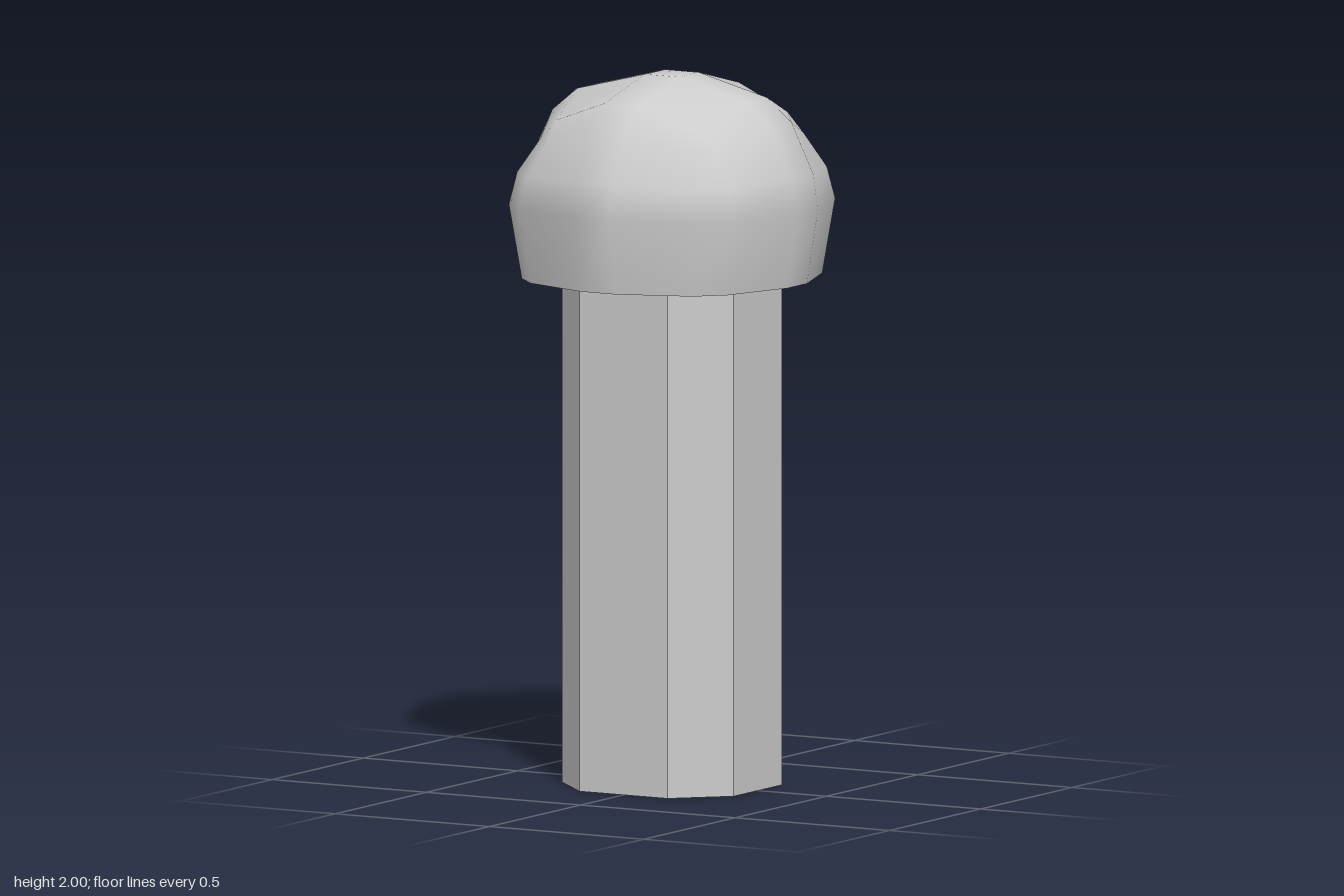
import * as THREE from 'three';
import { mergeVertices } from 'three/addons/utils/BufferGeometryUtils.js';

const SIDES = 16;

// One ring of the head: four quadrants of a square with rounded corners.
// r: reach at the middle of a side, a/b: chamfered corner, yMid/yCorner: heights
function headRing([r, a, b, yMid, yCorner]) {
  const m = 0.055;
  const ring = [];
  for (let q = 0; q < 4; q++) {
    for (let [x, z, y] of [[r, m, yMid], [b, a, yCorner], [a, b, yCorner], [m, r, yMid]]) {
      for (let k = 0; k < q; k++) [x, z] = [-z, x];
      ring.push(new THREE.Vector3(x, y, z));
    }
  }
  return ring;
}

function domeGeometry(rings) {
  const index = [];
  for (let j = 0; j < rings.length - 1; j++) {
    for (let i = 0; i < SIDES; i++) {
      const a = j * SIDES + i;
      const b = j * SIDES + (i + 1) % SIDES;
      index.push(a, a + SIDES, b, b, a + SIDES, b + SIDES);
    }
  }
  // small square on the crown
  const t = (rings.length - 1) * SIDES;
  index.push(t, t + 8, t + 4, t, t + 12, t + 8);
  const geo = new THREE.BufferGeometry().setFromPoints(rings.flat());
  geo.setIndex(index);
  const merged = mergeVertices(geo, 1e-4);
  merged.computeVertexNormals();
  return merged;
}

export function createModel() {
  const model = new THREE.Group();
  const smooth = new THREE.MeshStandardMaterial({ color: 0xcccccc });
  const flat = new THREE.MeshStandardMaterial({ color: 0xcccccc, flatShading: true });
  const add = (name, geometry, material, parent = model) => {
    const mesh = new THREE.Mesh(geometry, material);
    mesh.name = name;
    parent.add(mesh);
  };

  // Eight-sided stem
  const outline = [[0.278, 0.132], [0.143, 0.265], [-0.143, 0.265], [-0.278, 0.132],
    [-0.278, -0.132], [-0.143, -0.265], [0.143, -0.265], [0.278, -0.132]];
  const stemShape = new THREE.Shape(outline.map(([x, y]) => new THREE.Vector2(x, y)));
  const stem = new THREE.ExtrudeGeometry(stemShape, { depth: 1.43, bevelEnabled: false });
  stem.rotateX(-Math.PI / 2);
  add('stem', stem, flat);

  // Rounded head with a flat underside
  const head = new THREE.Group();
  head.name = 'head';
  model.add(head);
  const rings = [
    [0.405, 0.262, 0.332, 1.43, 1.43],
    [0.44, 0.285, 0.36, 1.64, 1.64],
    [0.425, 0.265, 0.345, 1.74, 1.73],
    [0.355, 0.235, 0.287, 1.88, 1.825],
    [0.275, 0.235, 0.235, 1.945, 1.88],
    [0.055, 0.055, 0.055, 2, 2],
  ].map(headRing);
  add('headDome', domeGeometry(rings), smooth, head);

  const underside = new THREE.ShapeGeometry(
    new THREE.Shape(rings[0].map((p) => new THREE.Vector2(p.x, p.z))));
  underside.rotateX(Math.PI / 2).translate(0, 1.43, 0);
  add('headUnderside', underside, flat, head);

  return model;
}
